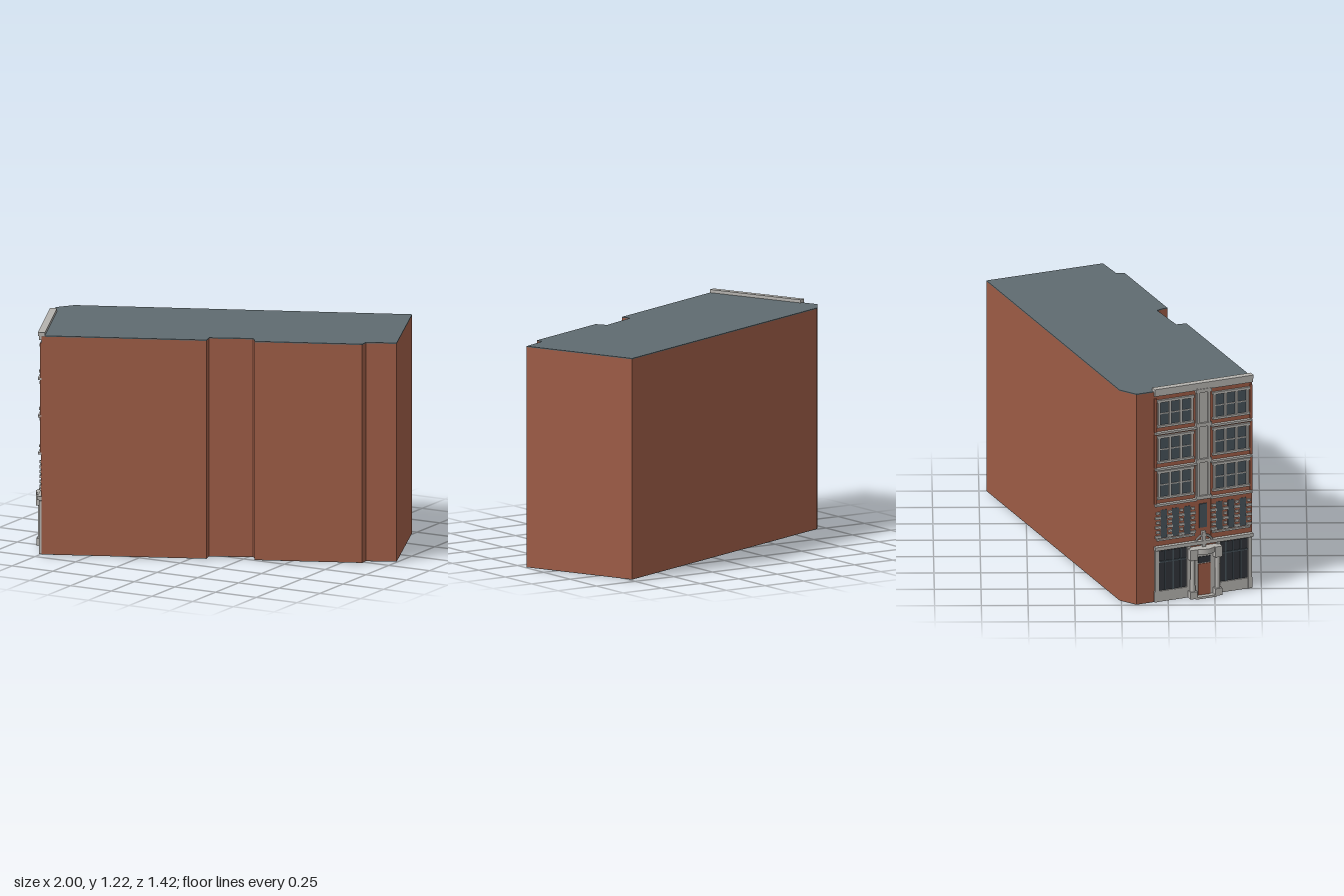
import * as THREE from 'three';

const mat = (color) => new THREE.MeshStandardMaterial({ color, flatShading: true });
const brick = mat(0x9c5b45), roofGrey = mat(0x5f6b70), stone = mat(0xb4b2ae);
const glass = mat(0x46525a), dark = mat(0x30343a), baseGrey = mat(0x5a5856);

// Plan outline as [x, z]
const PLAN = [
  [0.743, -0.71], [1, -0.085], [0.85, -0.015], [0.853, 0.03], [0.318, 0.255], [0.3, 0.222],
  [0.28, 0.2], [0.065, 0.3], [0.08, 0.355], [-0.738, 0.7], [-1, 0.08], [-0.936, -0.01],
];

function slab(name, y0, y1, material) {
  const shape = new THREE.Shape(PLAN.map(([x, z]) => new THREE.Vector2(x, -z)));
  const geo = new THREE.ExtrudeGeometry(shape, { depth: y1 - y0, bevelEnabled: false });
  geo.rotateX(-Math.PI / 2);
  const m = new THREE.Mesh(geo, material);
  m.position.y = y0;
  m.name = name;
  return m;
}

// Box on the facade: x centre, width, bottom, top, back and front depth
function block(parent, name, x, w, y0, y1, z0, z1, material) {
  const m = new THREE.Mesh(new THREE.BoxGeometry(w, y1 - y0, z1 - z0), material);
  m.position.set(x, (y0 + y1) / 2, (z0 + z1) / 2);
  m.name = name;
  parent.add(m);
  return m;
}

// Three tall panes in a stone frame
function tripleWindow(parent, x, y0, y1) {
  const g = new THREE.Group();
  g.name = 'tripleWindow';
  block(g, 'glass', x, 0.19, y0, y1, 0, 0.003, glass);
  for (let i = 0; i < 4; i++) block(g, 'mullion', x - 0.096 + i * 0.064, 0.013, y0, y1, 0, 0.012, stone);
  block(g, 'lintel', x, 0.215, y1, y1 + 0.014, 0, 0.013, stone);
  block(g, 'sill', x, 0.215, y0 - 0.012, y0, 0, 0.015, stone);
  for (let i = 0; i < 3; i++)
    block(g, 'sashRail', x - 0.064 + i * 0.064, 0.052, (y0 + y1) / 2 - 0.003, (y0 + y1) / 2 + 0.003, 0, 0.007, stone);
  parent.add(g);
}

// Brick storey with quoined windows
function quoinedBay(parent, x) {
  const g = new THREE.Group();
  g.name = 'quoinedBay';
  block(g, 'brickPanel', x, 0.235, 0.325, 0.55, 0, 0.005, brick);
  for (let i = 0; i < 3; i++)
    block(g, 'glass', x - 0.068 + i * 0.068, 0.038, 0.365, 0.525, 0.004, 0.007, glass);
  for (let i = 0; i < 4; i++) {
    for (let j = 0; j < 6; j++)
      block(g, 'quoin', x - 0.102 + i * 0.068, j % 2 ? 0.02 : 0.032, 0.366 + j * 0.027, 0.38 + j * 0.027, 0.004, 0.013, stone);
  }
  block(g, 'sill', x, 0.22, 0.352, 0.362, 0, 0.015, stone);
  parent.add(g);
}

function entrance() {
  const g = new THREE.Group();
  g.name = 'entrance';
  block(g, 'step', 0, 0.12, 0, 0.012, 0, 0.05, stone);
  block(g, 'surround', 0, 0.15, 0.005, 0.26, 0, 0.018, stone);
  block(g, 'door', 0, 0.07, 0.012, 0.19, 0.017, 0.022, brick);
  block(g, 'fanlight', 0, 0.07, 0.195, 0.23, 0.017, 0.022, dark);
  for (const s of [-1, 1]) {
    block(g, 'pierFoot', s * 0.072, 0.04, 0.005, 0.045, 0, 0.05, stone);
    const column = new THREE.Mesh(new THREE.CylinderGeometry(0.012, 0.014, 0.18, 12), stone);
    column.position.set(s * 0.072, 0.135, 0.031);
    column.name = 'column';
    g.add(column);
    block(g, 'pierHead', s * 0.072, 0.042, 0.225, 0.285, 0, 0.052, stone);
  }
  // Bowed canopy between the pier heads
  const canopy = new THREE.Mesh(new THREE.CylinderGeometry(0.07, 0.07, 0.03, 20, 1, false, -Math.PI / 2, Math.PI), stone);
  canopy.scale.z = 0.9;
  canopy.position.y = 0.27;
  canopy.name = 'canopy';
  g.add(canopy);
  // Arched crest above the canopy
  const crest = new THREE.Mesh(new THREE.TorusGeometry(0.05, 0.007, 6, 16, Math.PI), stone);
  crest.position.set(0, 0.3, 0.015);
  crest.name = 'crest';
  g.add(crest);
  block(g, 'crestStem', 0, 0.02, 0.285, 0.37, 0, 0.022, stone);
  return g;
}

function facade() {
  const g = new THREE.Group();
  g.name = 'facade';
  for (const s of [-1, 1]) {
    const x = s * 0.162;
    for (const [y0, y1] of [[0.6, 0.735], [0.805, 0.935], [1.01, 1.14]]) {
      tripleWindow(g, x, y0, y1);
      block(g, 'storeyLedge', x, 0.24, y0 - 0.05, y0 - 0.038, 0, 0.02, stone);
      block(g, 'edgeStrip', s * 0.278, 0.014, y0 - 0.038, y1 + 0.025, 0, 0.008, brick);
    }
    quoinedBay(g, x);
    // Shopfront
    block(g, 'shopGlass', s * 0.175, 0.19, 0.06, 0.29, 0, 0.004, dark);
    block(g, 'stallRiser', s * 0.175, 0.22, 0.005, 0.065, 0, 0.012, stone);
    for (const x2 of [0.087, 0.27]) block(g, 'shopPier', s * x2, 0.022, 0.005, 0.295, 0, 0.014, stone);
    for (const x2 of [0.13, 0.175, 0.22]) block(g, 'shopMullion', s * x2, 0.007, 0.065, 0.29, 0, 0.008, glass);
    block(g, 'shopTransom', s * 0.175, 0.18, 0.225, 0.233, 0, 0.01, glass);
  }
  // Tall centre pilaster with raised strips
  block(g, 'centrePilaster', 0, 0.085, 0.55, 1.19, 0, 0.008, stone);
  for (const s of [-1, 1]) block(g, 'pilasterStrip', s * 0.031, 0.016, 0.56, 1.19, 0, 0.016, stone);
  for (const y of [0.555, 0.765, 0.97, 1.165]) block(g, 'pilasterBand', 0, 0.09, y, y + 0.02, 0, 0.019, stone);
  block(g, 'centreWindow', 0, 0.045, 0.39, 0.525, 0, 0.006, glass);
  // Full-width bands and cornice
  block(g, 'shopCornice', 0, 0.57, 0.3, 0.32, 0, 0.024, stone);
  block(g, 'topFrieze', 0, 0.57, 1.18, 1.205, 0, 0.015, stone);
  block(g, 'cornice', 0, 0.575, 1.203, 1.222, -0.018, 0.02, stone);
  g.add(entrance());
  return g;
}

export function createModel() {
  const model = new THREE.Group();
  model.name = 'cornerBuilding';
  model.add(slab('base', 0.003, 0.006, baseGrey));
  model.add(slab('walls', 0.006, 1.2, brick));
  model.add(slab('roof', 1.2, 1.205, roofGrey));

  // Ornate end wall, placed along the short side of the plan
  const [ax, az] = PLAN[9], [bx, bz] = PLAN[10];
  const length = Math.hypot(bx - ax, bz - az);
  const t = 0.287 / length;
  const front = facade();
  front.position.set(ax + (bx - ax) * t, 0, az + (bz - az) * t);
  front.rotation.y = Math.atan2(bz - az, ax - bx);
  model.add(front);
  return model;
}
